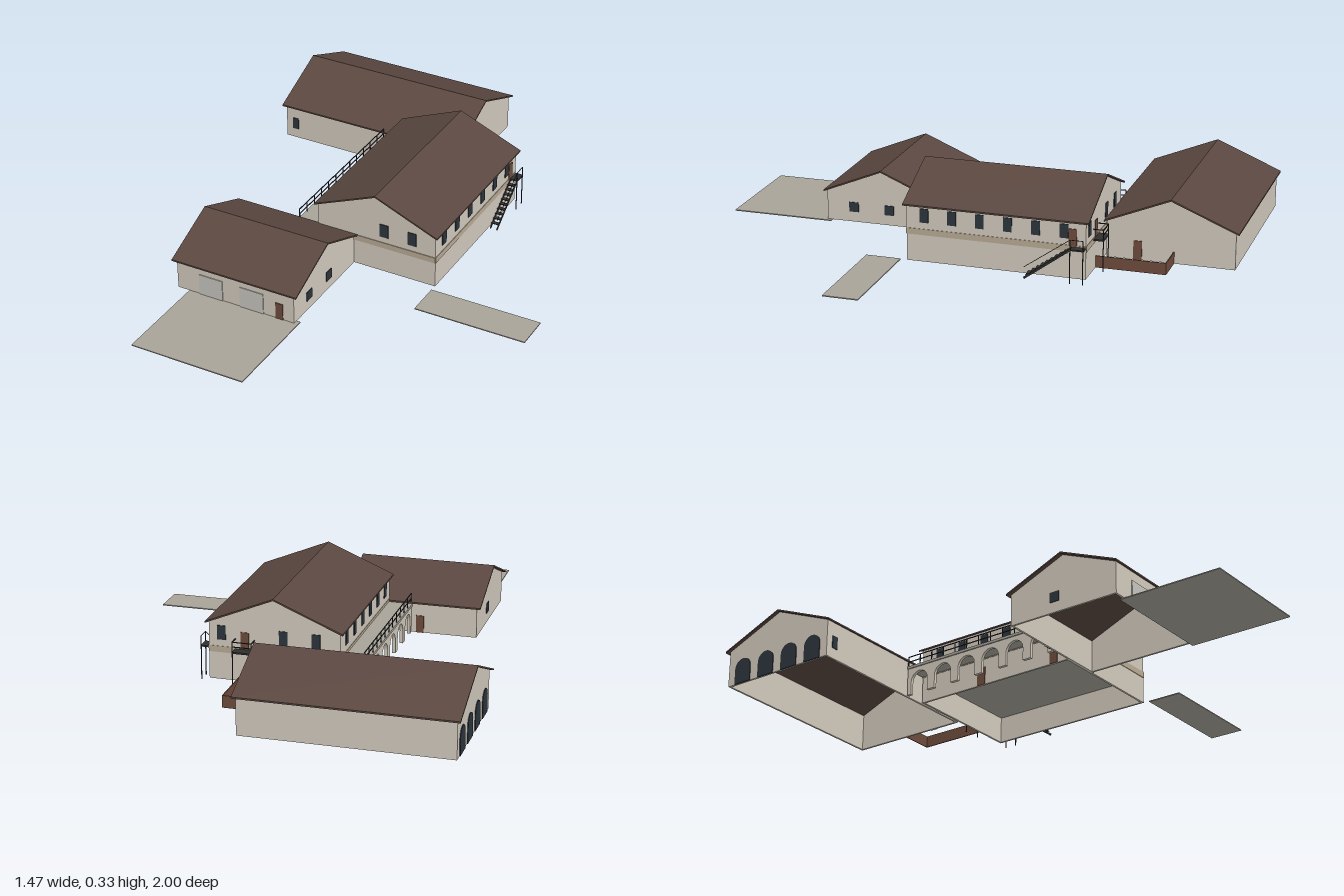
import * as THREE from 'three';

const mat = (color) => new THREE.MeshStandardMaterial({ color, side: THREE.DoubleSide });
const WALL = mat(0xd2cabd), ROOF = mat(0x5a4740), GLASS = mat(0x2c353d), DOOR = mat(0x6e4c3c);
const PAVING = mat(0xa8a398), BAND = mat(0xb9aa94), IRON = mat(0x2f2f31), SHUTTER = mat(0xc8c5be);
const BASE = 0.01;

export function createModel() {
  const model = new THREE.Group();

  const add = (name, geometry, material, parent = model) => {
    const mesh = new THREE.Mesh(geometry, material);
    mesh.name = name;
    parent.add(mesh);
    return mesh;
  };
  // Box given by its limits on each axis
  const box = (name, material, x0, x1, y0, y1, z0, z1, parent) => {
    const mesh = add(name, new THREE.BoxGeometry(x1 - x0, y1 - y0, z1 - z0), material, parent);
    mesh.position.set((x0 + x1) / 2, (y0 + y1) / 2, (z0 + z1) / 2);
    return mesh;
  };
  // Thin square bar between two points
  const bar = (name, a, b, size = 0.004, material = IRON, depth = size) => {
    const from = new THREE.Vector3(...a), to = new THREE.Vector3(...b);
    const mesh = add(name, new THREE.BoxGeometry(size, depth, from.distanceTo(to)), material);
    mesh.position.copy(from).lerp(to, 0.5);
    mesh.lookAt(to);
    return mesh;
  };
  // Panels standing slightly proud of a wall that faces along x or z
  const panelX = (name, material, x, z, w, y0, y1) =>
    box(name, material, x - 0.003, x + 0.003, y0, y1, z - w / 2, z + w / 2);
  const panelZ = (name, material, z, x, w, y0, y1) =>
    box(name, material, x - w / 2, x + w / 2, y0, y1, z - 0.003, z + 0.003);

  const extrude = (points, depth) => new THREE.ExtrudeGeometry(
    new THREE.Shape(points.map((p) => new THREE.Vector2(...p))), { depth, bevelEnabled: false });

  // Open-bottomed gabled building with its ridge along local z
  const gabled = (name, { half, wallLength, roofHalf, roofLength, eave, ridge }) => {
    const house = new THREE.Group();
    house.name = name;
    const t = 0.006, w = 0.008;
    const top = eave + (ridge - eave) * (1 - half / roofHalf) - t / 2;
    const gable = extrude([[-half, BASE], [half, BASE], [half, top], [0, ridge - t / 2], [-half, top]], w);
    for (const s of [-1, 1]) {
      add('gableWall', gable, WALL, house).position.z = s * (wallLength / 2 - w / 2) - w / 2;
      box('sideWall', WALL, s * (half - w / 2) - w / 2, s * (half - w / 2) + w / 2,
        BASE, top, -wallLength / 2 + w, wallLength / 2 - w, house);
    }
    const roof = extrude([[-roofHalf, eave], [0, ridge], [roofHalf, eave],
      [roofHalf, eave - t], [0, ridge - t], [-roofHalf, eave - t]], roofLength);
    add('roof', roof, ROOF, house).position.z = -roofLength / 2;
    model.add(house);
    return house;
  };

  // --- Main house ---
  gabled('mainHouse', { half: 0.243, wallLength: 0.675, roofHalf: 0.255, roofLength: 0.70, eave: 0.227, ridge: 0.333 })
    .position.set(0.054, 0, -0.163);
  const L = -0.189, R = 0.297, F = 0.175, B = -0.5;
  box('upperFloor', PAVING, L + 0.008, R - 0.008, 0.112, 0.122, B + 0.008, F - 0.008);
  for (const x of [L, R]) box('beltCourse', BAND, x - 0.002, x + 0.002, 0.112, 0.135, B, F);
  for (const z of [B, F]) box('beltCourse', BAND, L, R, 0.112, 0.135, z - 0.002, z + 0.002);
  for (let i = 0; i < 6; i++) {
    const z = 0.107 - i * 0.1053;
    panelX('sideWindow', GLASS, R, z, 0.032, 0.16, 0.213);
    panelX('sideWindow', GLASS, L, z, 0.032, 0.16, 0.213);
  }
  for (const x of [0.087, 0.202]) panelZ('frontWindow', GLASS, F, x, 0.035, 0.16, 0.213);
  for (const x of [-0.1, 0.02, 0.25]) panelZ('backWindow', GLASS, B, x, 0.032, 0.16, 0.213);
  panelX('upperDoor', DOOR, R, -0.452, 0.03, 0.132, 0.197);
  panelZ('balconyDoor', DOOR, B, 0.163, 0.03, 0.13, 0.195);
  for (const z of [0.11, -0.22]) panelX('groundDoor', DOOR, L, z, 0.035, BASE, 0.08);

  // --- Arcade carrying a terrace on the courtyard side ---
  const arch = (shape, cx, w, spring) => {
    shape.moveTo(cx - w / 2, BASE);
    shape.lineTo(cx - w / 2, spring);
    shape.absarc(cx, spring, w / 2, Math.PI, 0, true);
    shape.lineTo(cx + w / 2, BASE);
    shape.closePath();
    return shape;
  };
  const z0 = -0.5, z1 = 0.165, bays = 6, pitch = (z1 - z0) / bays;
  const arcade = new THREE.Shape();
  arcade.moveTo(-z1, BASE);
  for (let i = bays - 1; i >= 0; i--) {
    const c = -(z0 + (i + 0.5) * pitch), r = 0.038;
    arcade.lineTo(c - r, BASE);
    arcade.lineTo(c - r, 0.06);
    arcade.absarc(c, 0.06, r, Math.PI, 0, true);
    arcade.lineTo(c + r, BASE);
  }
  arcade.lineTo(-z0, BASE);
  arcade.lineTo(-z0, 0.115);
  arcade.lineTo(-z1, 0.115);
  const arcadeWall = add('arcadeWall', new THREE.ExtrudeGeometry(arcade, { depth: 0.012, bevelEnabled: false, curveSegments: 10 }), WALL);
  arcadeWall.rotation.y = Math.PI / 2;
  arcadeWall.position.x = -0.278;
  box('terrace', PAVING, -0.282, L, 0.115, 0.125, z0, z1);
  for (const y of [0.145, 0.165]) bar('terraceRail', [-0.277, y, z0], [-0.277, y, z1], 0.003);
  for (let i = 0; i <= bays * 2; i++) {
    const z = z0 + 0.002 + i * (z1 - z0 - 0.004) / (bays * 2);
    bar('terracePost', [-0.277, 0.125, z], [-0.277, 0.165, z], 0.003);
  }

  // --- Outside stair on the right wall ---
  const sx0 = R + 0.002, sx1 = 0.33, foot = -0.28, head = -0.45, landing = 0.13;
  box('stairLanding', IRON, R, sx1, landing - 0.005, landing, -0.5, head);
  for (const x of [sx0 + 0.002, sx1 - 0.002]) bar('stairStringer', [x, 0.003, foot], [x, landing - 0.002, head], 0.003, IRON, 0.008);
  for (let i = 1; i <= 9; i++) {
    const t = i / 10, z = foot + (head - foot) * t, y = BASE + (landing - BASE) * t;
    box('stairTread', IRON, sx0, sx1, y - 0.003, y, z - 0.008, z + 0.008);
  }
  bar('stairHandrail', [sx1 - 0.002, 0.045, foot], [sx1 - 0.002, 0.165, head], 0.002);
  bar('landingRail', [sx1 - 0.002, 0.165, head], [sx1 - 0.002, 0.165, -0.498], 0.002);
  for (const z of [head, -0.498]) bar('landingPost', [sx1 - 0.002, 0, z], [sx1 - 0.002, 0.165, z], 0.003);

  // --- Small back balcony ---
  box('balconyFloor', IRON, 0.125, 0.2, 0.125, 0.131, -0.54, B);
  for (const x of [0.127, 0.198]) {
    bar('balconyPost', [x, BASE, -0.538], [x, 0.17, -0.538], 0.003);
    bar('balconySideRail', [x, 0.168, -0.538], [x, 0.168, B], 0.003);
  }
  for (const y of [0.15, 0.168]) bar('balconyRail', [0.127, y, -0.538], [0.198, y, -0.538], 0.003);

  // --- Garage ---
  const garage = gabled('garage', { half: 0.223, wallLength: 0.488, roofHalf: 0.234, roofLength: 0.52, eave: 0.131, ridge: 0.228 });
  garage.rotation.y = Math.PI / 2;
  garage.position.set(-0.284, 0, 0.395);
  for (const x of [-0.386, -0.215]) panelZ('garageDoor', SHUTTER, 0.618, x, 0.098, BASE, 0.095);
  panelZ('garageSideDoor', DOOR, 0.618, -0.1, 0.03, BASE, 0.077);
  panelZ('garageBackDoor', DOOR, 0.172, -0.31, 0.03, BASE, 0.077);
  for (const z of [0.51, 0.367]) panelX('garageWindow', GLASS, -0.04, z, 0.038, 0.05, 0.088);
  panelX('garageWindow', GLASS, -0.528, 0.36, 0.038, 0.05, 0.088);

  // --- Barn ---
  const barn = gabled('barn', { half: 0.24, wallLength: 0.76, roofHalf: 0.2525, roofLength: 0.785, eave: 0.152, ridge: 0.256 });
  barn.rotation.y = Math.PI / 2;
  barn.position.set(-0.344, 0, -0.7475);
  panelZ('barnWindow', GLASS, -0.5075, -0.683, 0.026, 0.05, 0.098);
  panelX('barnDoor', DOOR, 0.036, -0.625, 0.032, BASE, 0.083);
  for (let i = 0; i < 4; i++) {
    const opening = add('barnArch', new THREE.ExtrudeGeometry(arch(new THREE.Shape(), 0, 0.075, 0.07),
      { depth: 0.006, bevelEnabled: false, curveSegments: 10 }), GLASS);
    opening.rotation.y = Math.PI / 2;
    opening.position.set(-0.727, 0, -0.7475 + (i - 1.5) * 0.113);
  }

  // --- Yard fence and paved areas ---
  box('yardFence', DOOR, 0.035, 0.162, BASE, 0.055, -0.762, -0.758);
  box('yardFence', DOOR, 0.158, 0.162, BASE, 0.055, -0.762, B);
  box('driveway', PAVING, -0.48, -0.025, 0.007, 0.011, 0.6, 1.0);
  box('parkingPad', PAVING, 0.295, 0.733, 0.007, 0.011, 0.2, 0.334);

  return model;
}
